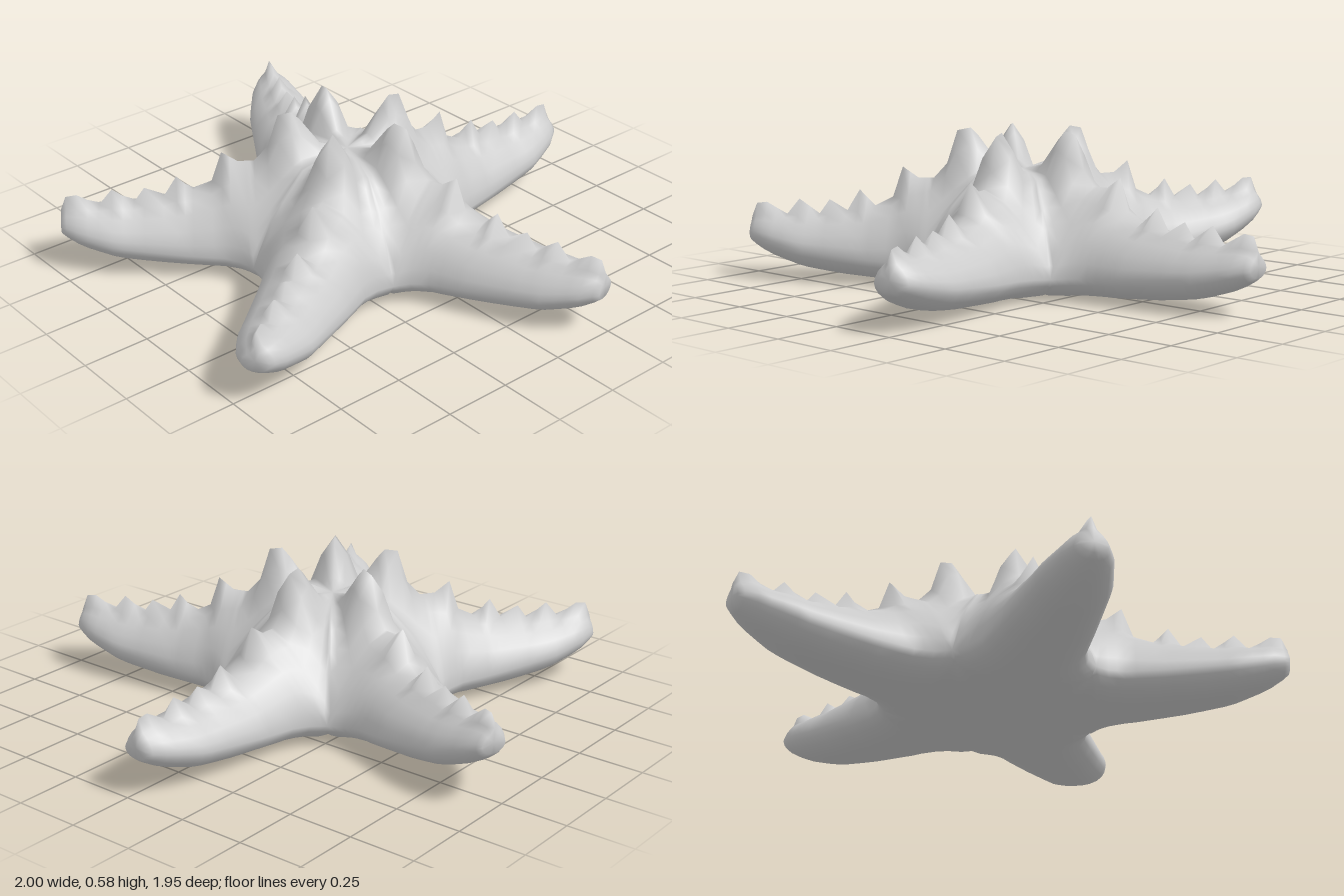
import * as THREE from 'three';
import { mergeVertices } from 'three/addons/utils/BufferGeometryUtils.js';

// Piecewise-linear curve through [s, value] pairs
const curve = (points) => (s) => {
  for (let i = 1; i < points.length; i++) {
    const [s0, v0] = points[i - 1], [s1, v1] = points[i];
    if (s <= s1) return v0 + (v1 - v0) * Math.max(0, (s - s0) / (s1 - s0));
  }
  return points[points.length - 1][1];
};

const VALLEY = 0.356;                 // distance along an arm where it leaves the disc
const LENGTH = 1.06;
const TAN36 = Math.tan(Math.PI / 5);  // half the angle of one fifth of the disc

// Half-width, rounded back, spiky crest, side edge and underside along one arm
const armWidth = curve([[VALLEY, VALLEY * TAN36], [0.39, 0.22], [0.46, 0.188], [0.63, 0.165], [0.88, 0.13], [1.0, 0.088], [LENGTH, 0.048]]);
const back = curve([[0, 0.43], [0.12, 0.44], [0.22, 0.455], [0.29, 0.405], [0.35, 0.365], [0.48, 0.3], [0.6, 0.26], [0.8, 0.235], [0.95, 0.235], [1.03, 0.24], [LENGTH, 0.21]]);
const crest = curve([[0, 0.43], [0.1, 0.455], [0.17, 0.55], [0.2, 0.58], [0.25, 0.57], [0.29, 0.445], [0.34, 0.39], [0.4, 0.39], [0.46, 0.43], [0.5, 0.315], [0.57, 0.28],
  [0.63, 0.34], [0.68, 0.26], [0.75, 0.3], [0.79, 0.245], [0.87, 0.3], [0.92, 0.24], [1.0, 0.285], [1.04, 0.28], [LENGTH, 0.23]]);
const upperEdge = curve([[0, 0.43], [0.16, 0.42], [0.25, 0.31], [0.3, 0.23], [0.33, 0.165], [VALLEY, 0.085], [0.6, 0.1], [0.85, 0.125], [LENGTH, 0.17]]);
const lowerEdge = curve([[0, 0.02], [0.27, 0.01], [0.33, 0.035], [VALLEY, 0.085], [0.6, 0.1], [0.85, 0.125], [LENGTH, 0.17]]);
const underside = curve([[0, 0.02], [0.3, 0], [0.5, 0.005], [0.7, 0.022], [0.85, 0.045], [0.97, 0.085], [1.03, 0.115], [LENGTH, 0.14]]);

const STATIONS = [0, 0.06, 0.1, 0.17, 0.2, 0.25, 0.29, 0.34, VALLEY, 0.37, 0.4, 0.43, 0.46, 0.5, 0.57, 0.6,
  0.63, 0.68, 0.75, 0.79, 0.83, 0.87, 0.92, 0.96, 1.0, 1.04, LENGTH];
const ACROSS = [-1, -0.95, -0.82, -0.58, -0.3, 0, 0.3, 0.58, 0.82, 0.95, 1];

// Direction in degrees, sideways bend, lift of the tip, length factor
const ARMS = [
  { angle: 18, bend: -0.01, lift: 0, stretch: 0.99 },
  { angle: 90, bend: 0, lift: 0, stretch: 0.99 },
  { angle: 162, bend: -0.06, lift: 0.06, stretch: 0.97 },
  { angle: 234, bend: 0.025, lift: 0, stretch: 0.985 },
  { angle: 306, bend: -0.04, lift: 0, stretch: 0.985 },
];

// Height of the back: a soft swell on the disc that turns into a round arm
function upperHeight(s, u) {
  const round = THREE.MathUtils.smoothstep(s, 0.22, 0.44);
  const swell = 0.5 + 0.5 * Math.cos(Math.PI * u);
  const arch = (1 - u ** 2.2) ** 0.65;
  const y = upperEdge(s) + (back(s) - upperEdge(s)) * THREE.MathUtils.lerp(swell, arch, round);
  // The inner ring of spikes is broad, the outer spikes are narrow
  const breadth = (1 - round) * 0.5 + 0.12;
  const spike = u === 0 ? 1 : u < 0.5 ? breadth : 0;
  return y + (crest(s) - back(s)) * spike;
}

function armPoint(arm, s, u, upper, closed) {
  const inDisc = s <= VALLEY;
  const half = closed ? 0 : inDisc ? s * TAN36 : armWidth(s);
  const out = inDisc ? 0 : (s - VALLEY) / (LENGTH - VALLEY);
  const along = inDisc ? s : VALLEY + (s - VALLEY) * arm.stretch;
  const side = u * half + arm.bend * out;
  const a = Math.abs(u);
  let y;
  if (closed) y = 0.18;
  else if (upper) y = upperHeight(s, a);
  else y = underside(s) + (lowerEdge(s) - underside(s)) * (1 - (1 - a ** 2.6) ** 0.6);
  const t = THREE.MathUtils.degToRad(arm.angle);
  const dx = Math.cos(t), dz = -Math.sin(t);
  return [-0.02 + dx * along + dz * side, y + arm.lift * out ** 1.5, 0.08 + dz * along - dx * side];
}

// One skin of an arm with its fifth of the disc, ending in a closed tip
function addSkin(positions, arm, upper) {
  const rows = STATIONS.map((s) => ACROSS.map((u) => armPoint(arm, s, u, upper, false)));
  rows.push(ACROSS.map((u) => armPoint(arm, LENGTH, u, upper, true)));
  for (let i = 0; i < rows.length - 1; i++) {
    for (let j = 0; j < ACROSS.length - 1; j++) {
      const a = rows[i][j], b = rows[i + 1][j], c = rows[i + 1][j + 1], d = rows[i][j + 1];
      // Mirror the diagonals about the crest
      const tris = j < ACROSS.length / 2 - 1 ? [a, b, c, a, c, d] : [a, b, d, b, c, d];
      if (!upper) tris.reverse();
      for (const p of tris) positions.push(...p);
    }
  }
}

export function createModel() {
  const positions = [];
  for (const arm of ARMS) {
    addSkin(positions, arm, true);
    addSkin(positions, arm, false);
  }
  let geometry = new THREE.BufferGeometry();
  geometry.setAttribute('position', new THREE.Float32BufferAttribute(positions, 3));
  geometry = mergeVertices(geometry, 1e-4);
  geometry.computeVertexNormals();

  const body = new THREE.Mesh(geometry, new THREE.MeshStandardMaterial({ color: 0xcccccc }));
  body.name = 'starfishBody';
  const group = new THREE.Group();
  group.name = 'starfish';
  group.add(body);
  return group;
}
